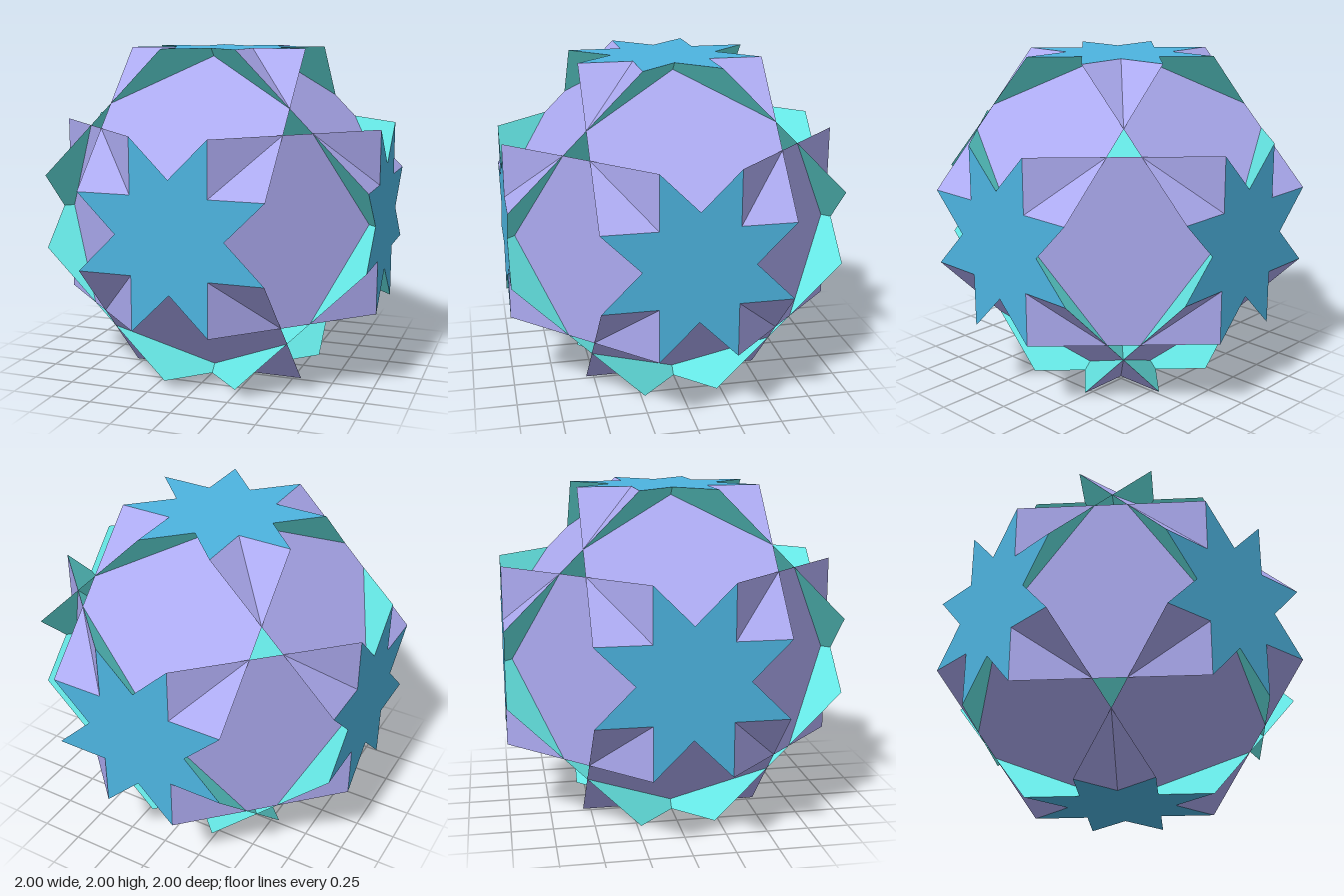
import * as THREE from 'three';

// Uniform star polyhedron: 6 octagrams, 12 squares and 8 hexagons of one edge length, crossing each other
const K = 2 * Math.SQRT2 - 1;
const A = 1 / K;                       // half the edge, about 0.547
const B = (Math.SQRT2 - 1) / K;        // about 0.227

const material = color => new THREE.MeshStandardMaterial({ color, side: THREE.DoubleSide, flatShading: true });

// Flat polygon whose corners cycle through the given radii, first corner at angle start
function polygon(count, radii, start) {
  const points = [];
  for (let i = 0; i < count; i++) {
    const t = start + (i / count) * Math.PI * 2, r = radii[i % radii.length];
    points.push(new THREE.Vector2(r * Math.cos(t), r * Math.sin(t)));
  }
  return new THREE.ShapeGeometry(new THREE.Shape(points));
}

export function createModel() {
  const model = new THREE.Group();
  const octagram = polygon(16, [Math.hypot(A, B), B * Math.SQRT2], Math.PI / 8);
  const square = polygon(4, [A * Math.SQRT2], Math.PI / 4);
  const hexagon = polygon(6, [2 * A], 0);
  const blue = material(0x4db4e0), lavender = material(0xacaaf0), cyan = material(0x66e8e6);

  // Lay a face across a direction, with its local x axis along u
  function place(name, geometry, mat, normal, u, distance) {
    const n = new THREE.Vector3(...normal).normalize();
    const x = new THREE.Vector3(...u).normalize();
    const y = new THREE.Vector3().crossVectors(n, x);
    const mesh = new THREE.Mesh(geometry, mat);
    mesh.name = name;
    mesh.quaternion.setFromRotationMatrix(new THREE.Matrix4().makeBasis(x, y, n));
    mesh.position.copy(n).multiplyScalar(distance);
    mesh.position.y += 1;
    model.add(mesh);
  }

  // Rotate coordinates so that the first lands on axis i
  const cycle = (i, p, q, r) => {
    const v = [0, 0, 0];
    [p, q, r].forEach((c, j) => { v[(i + j) % 3] = c; });
    return v;
  };

  for (let i = 0; i < 3; i++) {
    for (const s of [-1, 1]) {
      place('octagramFace', octagram, blue, cycle(i, s, 0, 0), cycle(i, 0, 1, 0), 1);
      for (const t of [-1, 1]) {
        place('squareFace', square, lavender, cycle(i, 0, s, t), cycle(i, 1, 0, 0), (1 + B) / Math.SQRT2);
      }
    }
  }
  // Hexagons face the eight cube corners
  for (const x of [-1, 1]) for (const y of [-1, 1]) for (const z of [-1, 1]) {
    place('hexagonFace', hexagon, cyan, [x, y, z], [-x, 0, z], (1 + B - A) / Math.sqrt(3));
  }
  return model;
}
